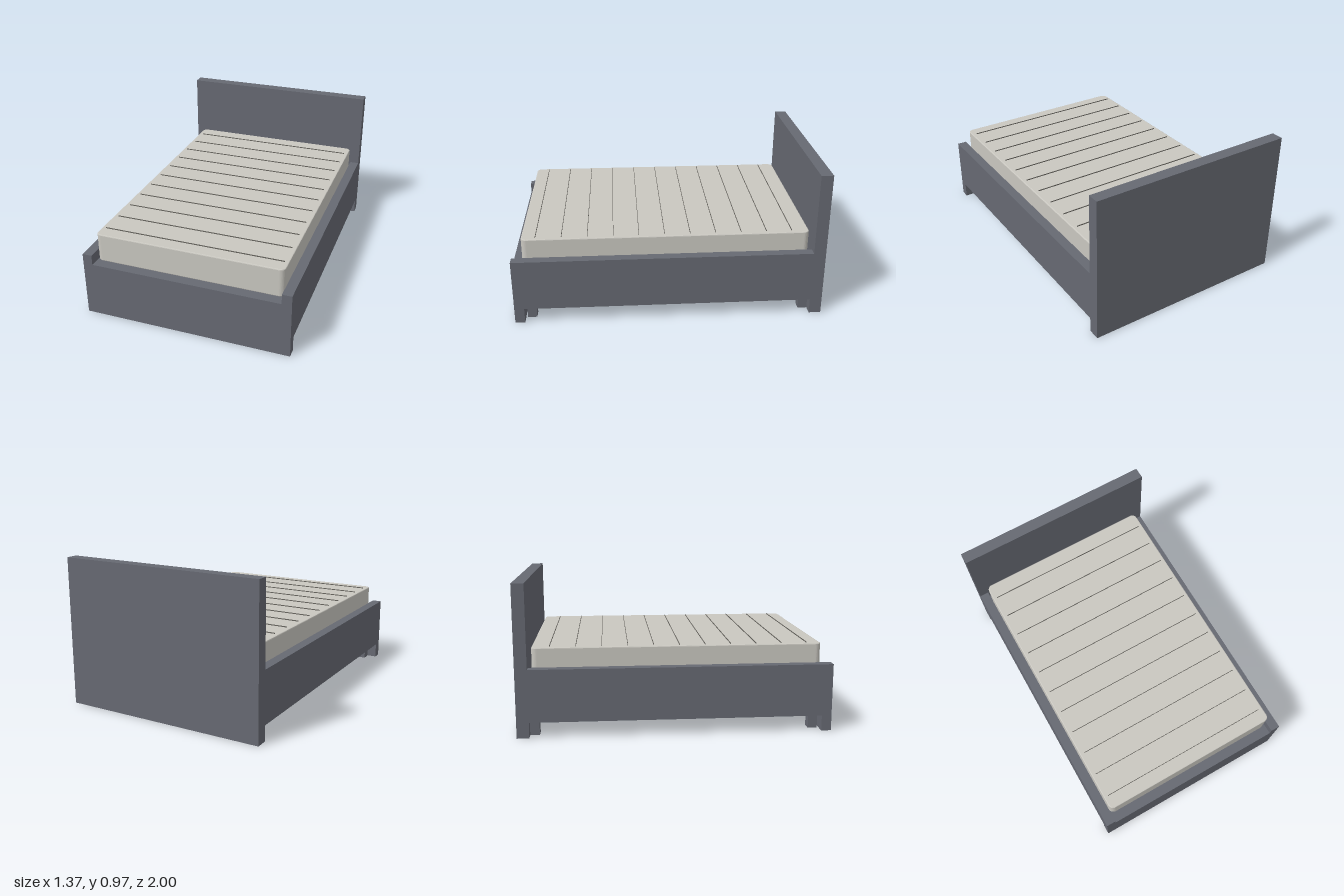
import * as THREE from 'three';

const mat = (name, color) => {
  const m = new THREE.MeshStandardMaterial({ color });
  m.name = name;
  return m;
};

export function createModel() {
  const bed = new THREE.Group();
  bed.name = 'bed';
  const frame = mat('slate frame', 0x666972);
  const fabric = mat('pale mattress', 0xc9c7c0);
  const seam = mat('dark seam', 0x66645e);

  // box given by its lower and upper corners
  const box = (name, material, [x0, y0, z0], [x1, y1, z1]) => {
    const mesh = new THREE.Mesh(new THREE.BoxGeometry(x1 - x0, y1 - y0, z1 - z0), material);
    mesh.position.set((x0 + x1) / 2, (y0 + y1) / 2, (z0 + z1) / 2);
    mesh.name = name;
    bed.add(mesh);
  };

  const W = 0.685, IN = 0.622;

  // boards and base
  box('headboard', frame, [-W, 0, -1], [W, 0.97, -0.922]);
  box('footboard', frame, [-IN, 0, 0.937], [IN, 0.37, 1]);
  box('base', frame, [-IN, 0.1, -0.922], [IN, 0.368, 0.937]);

  // side rails, footboard ends and inner legs
  for (const [side, s] of [['left', 1], ['right', -1]]) {
    const span = (a, b) => (s > 0 ? [a, b] : [-b, -a]);
    const [r0, r1] = span(IN, W);
    box(side + 'Rail', frame, [r0, 0.1, -0.922], [r1, 0.437, 1]);
    box(side + 'FootEnd', frame, [r0, 0, 0.937], [r1, 0.1, 1]);
    const [l0, l1] = span(0.56, IN);
    box(side + 'FrontLeg', frame, [l0, 0, 0.865], [l1, 0.1, 0.925]);
    box(side + 'BackLeg', frame, [l0, 0, -0.922], [l1, 0.1, -0.862]);
  }

  // mattress: rounded rectangle with a slight bevel round the top
  const bevel = 0.006, w = 0.618 - bevel, z0 = -0.902, z1 = 0.935, r = 0.03;
  const h = (z1 - z0) / 2 - bevel;
  const shape = new THREE.Shape();
  shape.absarc(w - r, h - r, r, 0, Math.PI / 2);
  shape.absarc(-w + r, h - r, r, Math.PI / 2, Math.PI);
  shape.absarc(-w + r, -h + r, r, Math.PI, Math.PI * 1.5);
  shape.absarc(w - r, -h + r, r, Math.PI * 1.5, Math.PI * 2);
  const geo = new THREE.ExtrudeGeometry(shape, {
    depth: 0.19 - 2 * bevel, bevelThickness: bevel, bevelSize: bevel, bevelSegments: 2, curveSegments: 6,
  });
  geo.rotateX(-Math.PI / 2);
  const mattress = new THREE.Mesh(geo, fabric);
  mattress.position.set(0, 0.37 + bevel, (z0 + z1) / 2);
  mattress.name = 'mattress';
  bed.add(mattress);

  // fine upright seams across the mattress
  for (let i = 0; i < 11; i++) {
    const z = 0.845 - i * 0.1635;
    box('seam' + (i + 1), seam, [-0.59, 0.555, z - 0.0015], [0.59, 0.566, z + 0.0015]);
  }
  return bed;
}
